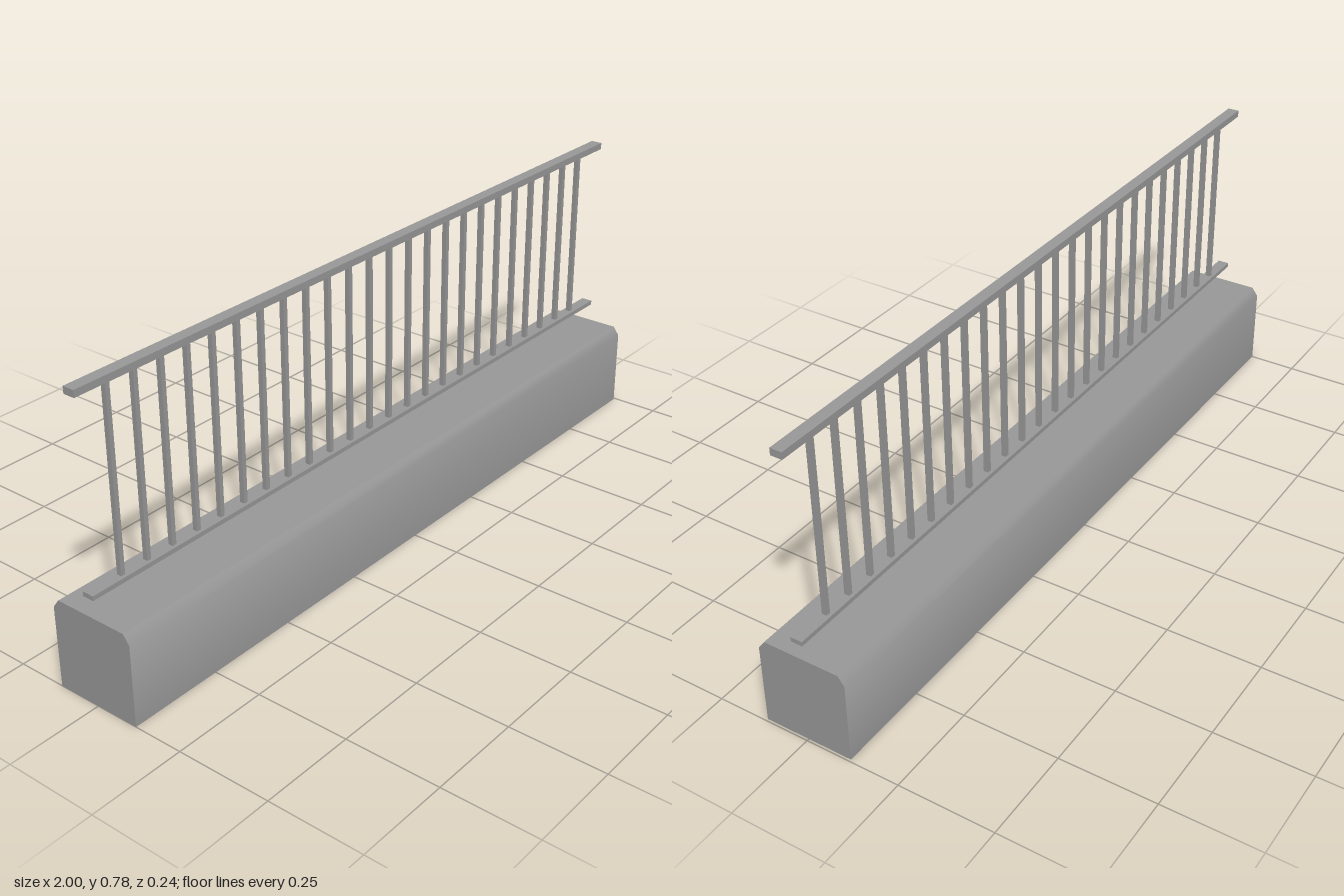
import * as THREE from 'three';
import { toCreasedNormals } from 'three/addons/utils/BufferGeometryUtils.js';

const material = new THREE.MeshStandardMaterial({ color: 0x999999 });
const shellMaterial = new THREE.MeshStandardMaterial({ color: 0x999999, side: THREE.DoubleSide });

// Box spanning y0 to y1, centred on z = 0
function addBox(parent, name, width, y0, y1, depth, x = 0) {
  const mesh = new THREE.Mesh(new THREE.BoxGeometry(width, y1 - y0, depth), material);
  mesh.name = name;
  mesh.position.set(x, (y0 + y1) / 2, 0);
  parent.add(mesh);
}

// Hollow kerb with chamfered top edges, open underneath
function createBase() {
  const profile = new THREE.Shape([
    [-0.118, 0], [0.118, 0], [0.118, 0.213], [0.101, 0.236], [-0.101, 0.236], [-0.118, 0.213],
  ].map(([x, y]) => new THREE.Vector2(x, y)));
  const solid = new THREE.ExtrudeGeometry(profile, { depth: 1.994, bevelEnabled: false });
  solid.rotateY(Math.PI / 2).translate(-1, 0, 0);

  // Leave out the triangles lying on the ground
  const p = solid.getAttribute('position').array;
  const kept = [];
  for (let i = 0; i < p.length; i += 9) {
    if (Math.max(p[i + 1], p[i + 4], p[i + 7]) > 1e-4) kept.push(...p.slice(i, i + 9));
  }
  const shell = new THREE.BufferGeometry();
  shell.setAttribute('position', new THREE.Float32BufferAttribute(kept, 3));
  const base = new THREE.Mesh(toCreasedNormals(shell, THREE.MathUtils.degToRad(45)), shellMaterial);
  base.name = 'base';
  return base;
}

export function createModel() {
  const model = new THREE.Group();
  model.name = 'railing';
  model.add(createBase());

  // Rails
  addBox(model, 'topRail', 2, 0.766, 0.784, 0.031);
  addBox(model, 'bottomRail', 2, 0.283, 0.295, 0.031);

  // Evenly spaced balusters between the rails
  const balusters = new THREE.Group();
  balusters.name = 'balusters';
  const count = 24;
  for (let i = 0; i < count; i++) {
    const x = THREE.MathUtils.lerp(-0.903, 0.899, i / (count - 1));
    addBox(balusters, 'baluster', 0.012, 0.295, 0.766, 0.013, x);
  }
  model.add(balusters);
  return model;
}
